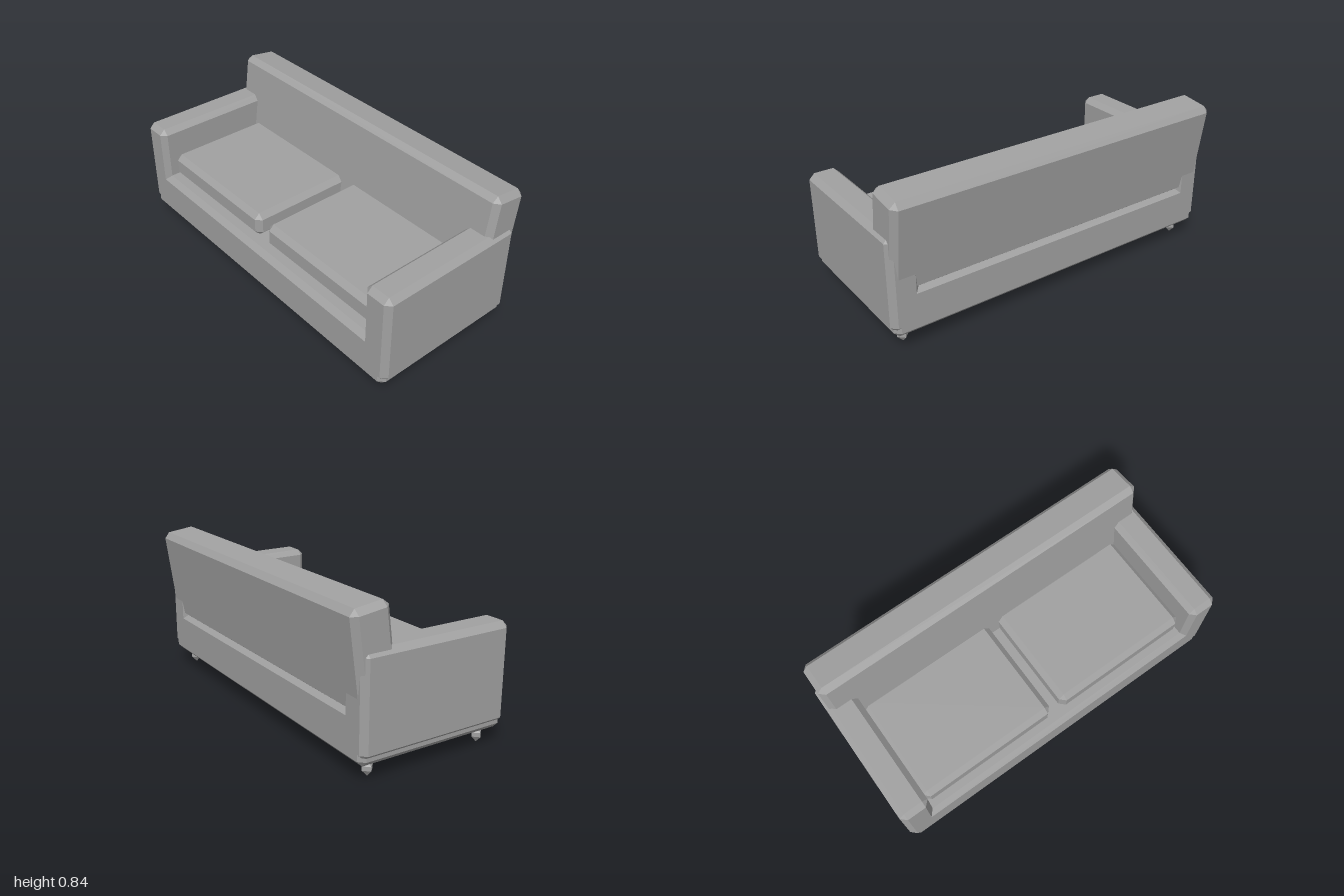
import * as THREE from 'three';
import { ConvexGeometry } from 'three/addons/geometries/ConvexGeometry.js';

const fabric = new THREE.MeshStandardMaterial({ color: 0xa0a0a0 });
fabric.name = 'grey';
fabric.flatShading = true;

// Box with flat 45-degree bevels on every edge, centred on its own origin
function bevelBox(w, h, d, c = 0.03) {
  const [x, y, z] = [w / 2, h / 2, d / 2];
  const points = [];
  for (const i of [-1, 1]) for (const j of [-1, 1]) for (const k of [-1, 1]) {
    points.push(
      new THREE.Vector3(i * x, j * (y - c), k * (z - c)),
      new THREE.Vector3(i * (x - c), j * y, k * (z - c)),
      new THREE.Vector3(i * (x - c), j * (y - c), k * z));
  }
  return new ConvexGeometry(points);
}

export function createModel() {
  const sofa = new THREE.Group();
  sofa.name = 'sofa';

  const add = (name, geometry, x, y, z) => {
    const mesh = new THREE.Mesh(geometry, fabric);
    mesh.name = name;
    mesh.position.set(x, y, z);
    sofa.add(mesh);
    return mesh;
  };
  // Bevelled block given by its lower and upper limits
  const block = (name, [x0, x1], [y0, y1], [z0, z1]) =>
    add(name, bevelBox(x1 - x0, y1 - y0, z1 - z0), (x0 + x1) / 2, (y0 + y1) / 2, (z0 + z1) / 2);

  // Seat base
  block('base', [-0.985, 0.985], [0.085, 0.335], [-0.4, 0.45]);

  // Armrests
  block('leftArm', [0.835, 1], [0.12, 0.635], [-0.4, 0.45]);
  block('rightArm', [-1, -0.835], [0.12, 0.635], [-0.4, 0.45]);

  // Seat cushions
  block('leftCushion', [0.03, 0.84], [0.33, 0.468], [-0.25, 0.385]);
  block('rightCushion', [-0.84, -0.035], [0.33, 0.468], [-0.25, 0.385]);

  // Reclined backrest
  const back = add('backrest', bevelBox(1.97, 0.513, 0.207), 0, 0.579, -0.318);
  back.rotation.x = -0.134;

  // Small faceted feet
  const profile = [[0, 0], [0.031, 0.033], [0.031, 0.055], [0, 0.086]]
    .map(([r, y]) => new THREE.Vector2(r, y));
  const footGeometry = new THREE.LatheGeometry(profile, 4);
  for (const x of [-0.905, 0.905]) for (const z of [-0.305, 0.36]) {
    add(`${z > 0 ? 'front' : 'back'}${x > 0 ? 'Left' : 'Right'}Foot`, footGeometry, x, 0, z);
  }
  return sofa;
}
